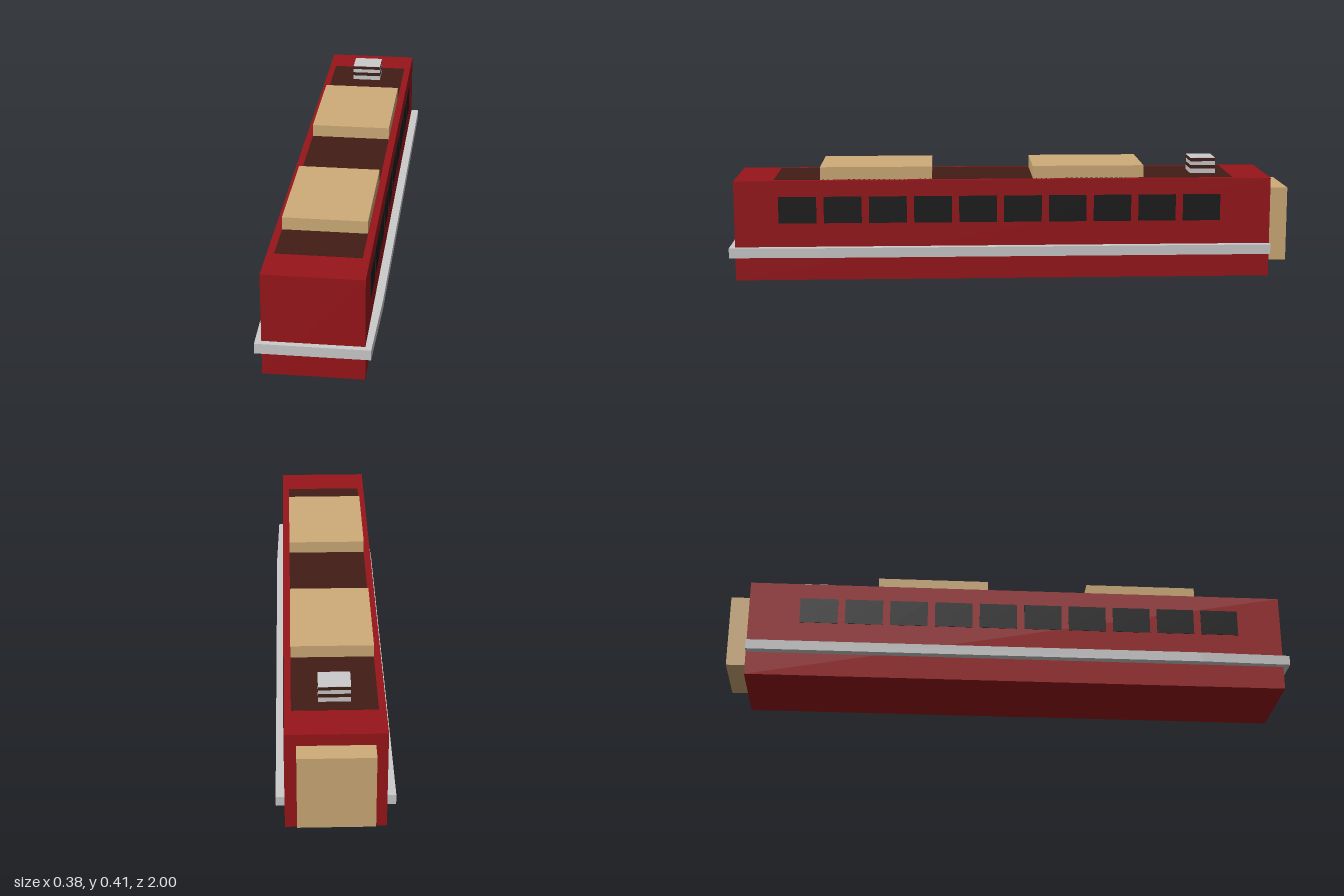
import * as THREE from 'three';

const paint = (color) => new THREE.MeshStandardMaterial({ color, flatShading: true });

export function createModel() {
  const group = new THREE.Group();
  const red = paint(0x981519);
  const tan = paint(0xcfac78);
  const brown = paint(0x421d16);
  const black = paint(0x1b1b1b);
  const grey = paint(0xcccccc);

  // Box given by its extents along each axis
  function box(name, material, [x0, x1], [y0, y1], [z0, z1], parent = group) {
    const mesh = new THREE.Mesh(new THREE.BoxGeometry(x1 - x0, y1 - y0, z1 - z0), material);
    mesh.position.set((x0 + x1) / 2, (y0 + y1) / 2, (z0 + z1) / 2);
    mesh.name = name;
    parent.add(mesh);
    return mesh;
  }

  // Carriage body, roof walkway and rear gangway
  box('body', red, [-0.164, 0.164], [0, 0.357], [-0.93, 0.98]);
  box('roofPanel', brown, [-0.14, 0.14], [0.35, 0.3585], [-0.795, 0.84]);
  box('rearGangway', tan, [-0.125, 0.125], [0.05, 0.315], [-1, -0.93]);

  // Two roof air-conditioning units
  for (const z of [0.478, -0.277]) {
    box('roofUnit', tan, [-0.14, 0.14], [0.357, 0.402], [z - 0.198, z + 0.198]);
  }

  // Louvred roof vent: alternating grey and dark layers under a grey cap
  const vent = new THREE.Group();
  vent.name = 'roofVent';
  group.add(vent);
  const levels = [0.3585, 0.375, 0.388, 0.402, 0.4135, 0.415];
  const layers = [grey, brown, grey, brown, grey];
  layers.forEach((material, i) => {
    box('ventLayer', material, [-0.053, 0.053], [levels[i], levels[i + 1]], [-0.748, -0.658], vent);
  });

  // Ten windows on each side
  for (const side of [-1, 1]) {
    for (let i = 0; i < 10; i++) {
      const z = 0.757 - i * 0.16;
      const x = side * 0.164;
      box('window', black, [x - 0.0015, x + 0.0015], [0.205, 0.3], [z - 0.067, z + 0.067]);
    }
  }

  // Bumper rail along both sides and around the front, tapering forward
  const outline = [
    [0.164, -0.93], [0.192, -0.93], [0.192, 0.68], [0.184, 1],
    [-0.184, 1], [-0.192, 0.68], [-0.192, -0.93], [-0.164, -0.93],
    [-0.164, 0.98], [0.164, 0.98],
  ];
  const shape = new THREE.Shape(outline.map(([x, z]) => new THREE.Vector2(x, -z)));
  const railGeometry = new THREE.ExtrudeGeometry(shape, { depth: 0.035, bevelEnabled: false });
  railGeometry.rotateX(-Math.PI / 2);
  const rail = new THREE.Mesh(railGeometry, grey);
  rail.position.y = 0.085;
  rail.name = 'bumperRail';
  group.add(rail);

  return group;
}
